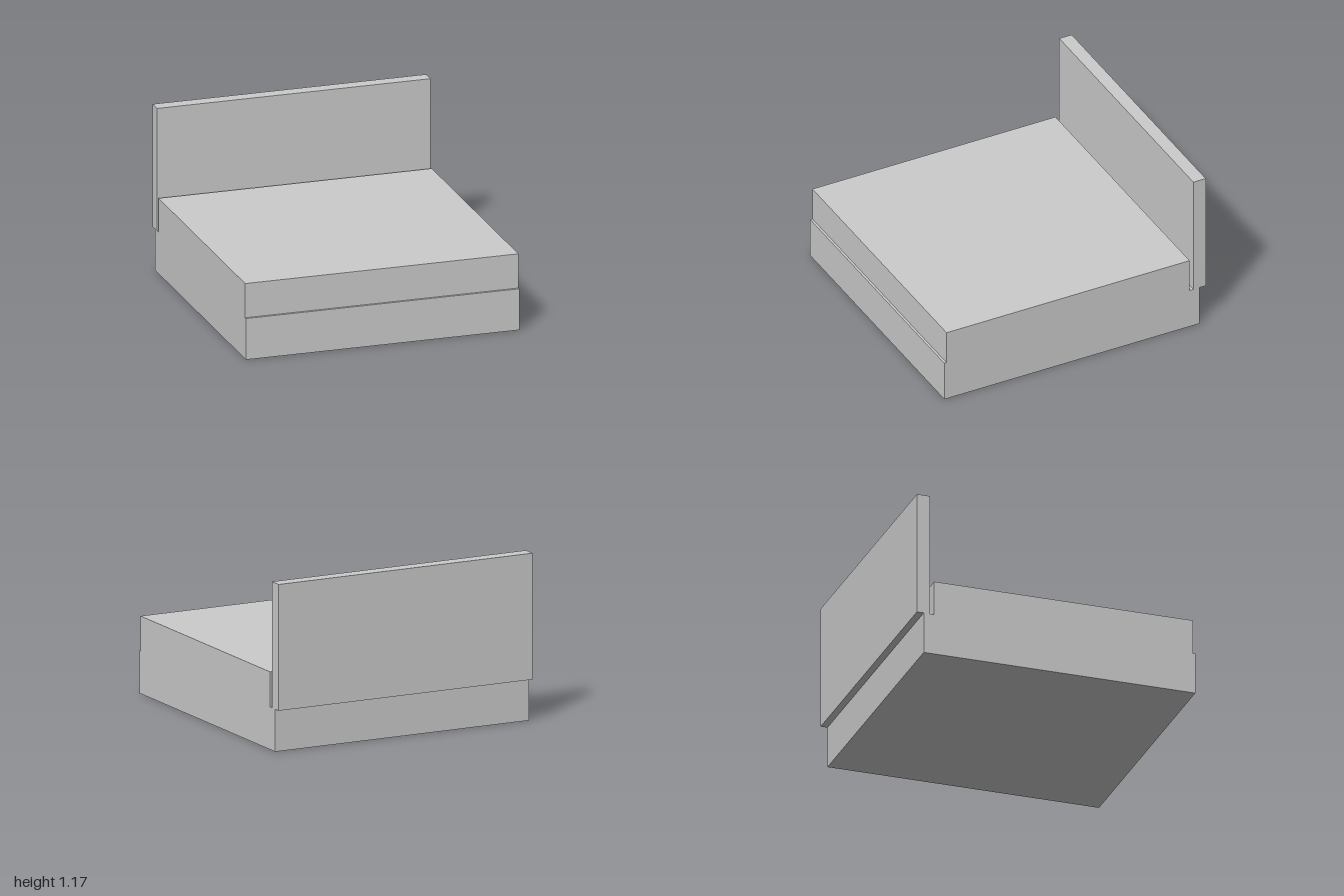
import * as THREE from 'three';

const HALF_WIDTH = 0.975;

// Full-width block given by its height and depth ranges
function block(name, y0, y1, z0, z1, material) {
  const mesh = new THREE.Mesh(new THREE.BoxGeometry(HALF_WIDTH * 2, y1 - y0, z1 - z0), material);
  mesh.position.set(0, (y0 + y1) / 2, (z0 + z1) / 2);
  mesh.name = name;
  return mesh;
}

export function createModel() {
  const group = new THREE.Group();
  group.name = 'bed';
  const grey = new THREE.MeshStandardMaterial({ color: 0xcccccc });
  group.add(
    block('bedBase', 0, 0.295, -0.951, 1, grey),
    block('mattress', 0.295, 0.54, -0.876, 0.983, grey),
    // Headboard overhangs the back edge of the base
    block('headboard', 0.295, 1.174, -1, -0.905, grey),
  );
  return group;
}
